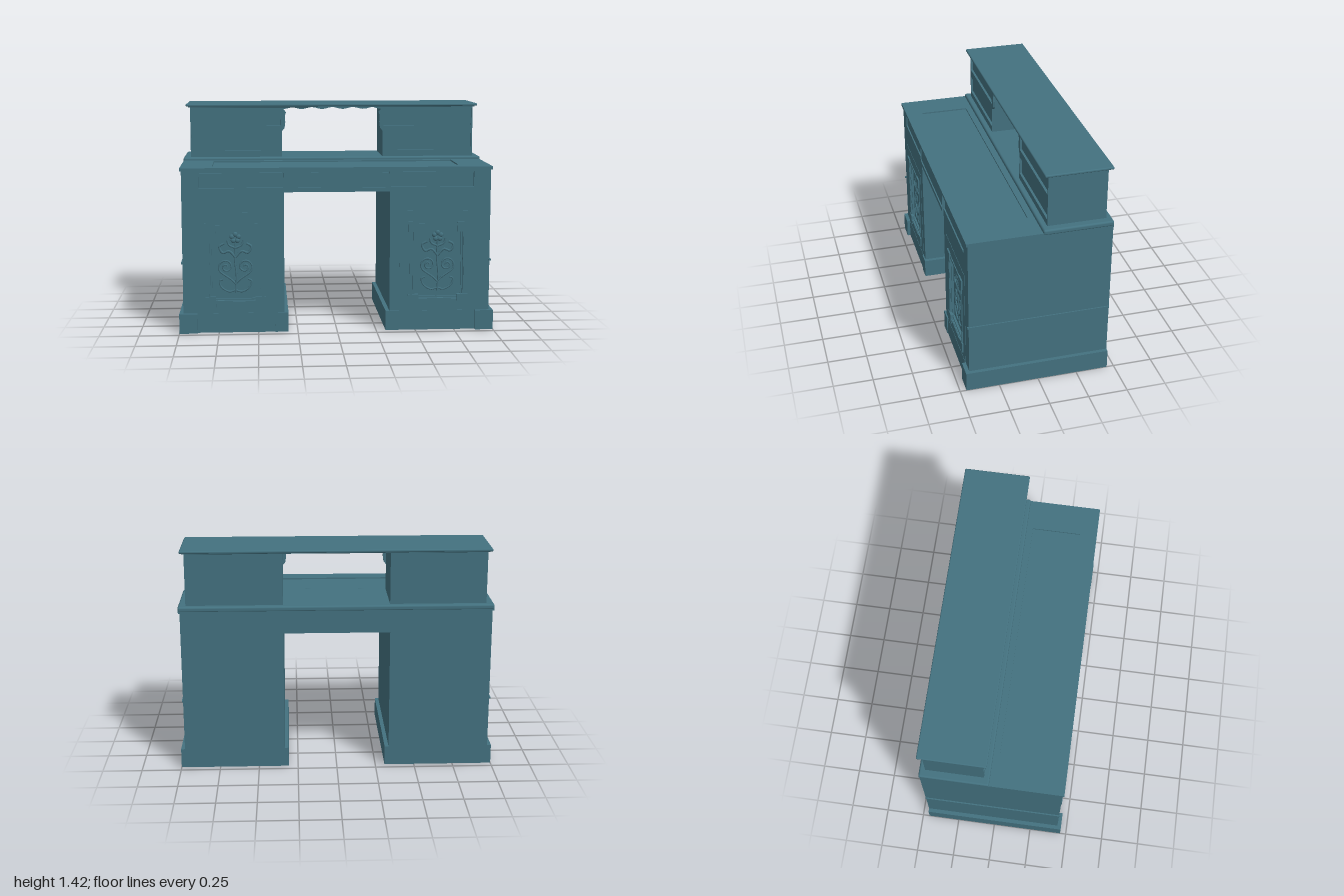
import * as THREE from 'three';
import { RoundedBoxGeometry } from 'three/addons/geometries/RoundedBoxGeometry.js';

const material = new THREE.MeshStandardMaterial({ color: 0x43717f });

function add(parent, name, geometry) {
  const mesh = new THREE.Mesh(geometry, material);
  mesh.name = name;
  parent.add(mesh);
  return mesh;
}

// Box given by its limits on each axis
function box(parent, name, [x0, x1], [y0, y1], [z0, z1], radius = 0) {
  const size = [x1 - x0, y1 - y0, z1 - z0];
  const geometry = radius ? new RoundedBoxGeometry(...size, 3, radius) : new THREE.BoxGeometry(...size);
  geometry.translate((x0 + x1) / 2, (y0 + y1) / 2, (z0 + z1) / 2);
  return add(parent, name, geometry);
}

const polygon = (points) => points.map(([x, y]) => new THREE.Vector2(x, y));
const rect = (x0, x1, y0, y1) => polygon([[x0, y0], [x1, y0], [x1, y1], [x0, y1]]);

// Flat board with openings, cut in the xy plane from z0 to z1
function board(outline, holes, z0, z1) {
  const shape = new THREE.Shape(outline);
  for (const hole of holes) shape.holes.push(new THREE.Path(hole));
  return new THREE.ExtrudeGeometry(shape, { depth: z1 - z0, bevelEnabled: false }).translate(0, 0, z0);
}

// Raised tendril of the door carving
function tendril(parent, points, radius = 0.006) {
  const curve = new THREE.CatmullRomCurve3(points.map(([x, y]) => new THREE.Vector3(x, y, 0)));
  return add(parent, 'carvedTendril', new THREE.TubeGeometry(curve, 36, radius, 6));
}

function carving() {
  const group = new THREE.Group();
  group.name = 'doorCarving';
  tendril(group, [[0, -0.19], [0.006, -0.08], [-0.004, 0.03], [0, 0.13]]);
  for (const s of [-1, 1]) {
    // Large scroll
    const scroll = [[0, -0.13], [s * 0.03, -0.1]];
    for (let i = 0; i <= 22; i++) {
      const a = -1.2 + i * 0.48, r = 0.05 * (1 - i / 26);
      scroll.push([s * (0.06 + r * Math.cos(a)), -0.02 + r * Math.sin(a)]);
    }
    tendril(group, scroll);
    // Lower curl and upper leaf sprays
    tendril(group, [[0, -0.17], [s * 0.04, -0.18], [s * 0.09, -0.15], [s * 0.1, -0.11], [s * 0.08, -0.1]]);
    tendril(group, [[0, 0.04], [s * 0.04, 0.08], [s * 0.08, 0.07], [s * 0.1, 0.11], [s * 0.07, 0.13]], 0.008);
    tendril(group, [[0, 0.1], [s * 0.04, 0.12], [s * 0.05, 0.15]], 0.007);
  }
  // Flower at the top
  for (let i = 0; i < 5; i++) {
    const a = Math.PI / 2 + i * Math.PI * 0.4;
    const petal = add(group, 'carvedPetal', new THREE.SphereGeometry(0.016, 8, 6));
    petal.position.set(0.022 * Math.cos(a), 0.165 + 0.022 * Math.sin(a), 0);
    petal.scale.z = 0.5;
  }
  return group;
}

function pedestal(side) {
  const group = new THREE.Group();
  group.name = side > 0 ? 'leftPedestal' : 'rightPedestal';
  const part = (name, [a, b], y, z) =>
    box(group, name, side > 0 ? [a, b] : [-b, -a], y, z);
  part('cabinet', [0.335, 0.975], [0, 1.03], [-0.455, 0.415]);
  part('plinth', [0.31, 1], [0, 0.125], [-0.455, 0.42]);
  part('outerPlinthBlock', [0.885, 1], [0, 0.125], [0.415, 0.46]);
  part('innerPlinthBlock', [0.31, 0.395], [0, 0.125], [0.415, 0.444]);
  part('doorPlinth', [0.395, 0.885], [0, 0.125], [0.415, 0.439]);
  part('sideMoulding', [0.97, 0.983], [0.444, 0.456], [-0.455, 0.444]);

  // Door: thin raised leaf, moulded frame, corner blocks, carved panel
  const door = new THREE.Group();
  door.name = 'door';
  door.position.x = side * 0.643;
  group.add(door);
  add(door, 'doorLeaf', board(rect(-0.247, 0.243, 0.125, 0.77), [rect(-0.16, 0.16, 0.205, 0.675)], 0.415, 0.437));
  add(door, 'outerFrame', board(rect(-0.18, 0.18, 0.185, 0.69), [rect(-0.164, 0.164, 0.201, 0.674)], 0.43, 0.442));
  add(door, 'innerFrame', board(rect(-0.158, 0.158, 0.207, 0.673), [rect(-0.148, 0.148, 0.217, 0.663)], 0.415, 0.429));
  for (const x of [-0.158, 0.158])
    for (const y of [0.198, 0.668])
      box(door, 'cornerBlock', [x - 0.034, x + 0.034], [y - 0.033, y + 0.033], [0.425, 0.446]);
  const ornament = carving();
  ornament.position.set(0, 0.44, 0.418);
  door.add(ornament);
  return group;
}

function hutchCabinet(side) {
  const group = new THREE.Group();
  group.name = side > 0 ? 'leftHutchCabinet' : 'rightHutchCabinet';
  const span = (a, b) => (side > 0 ? [a, b] : [-b, -a]);
  box(group, 'hutchBox', span(0.335, 0.94), [1.065, 1.407], [-0.42, -0.07]);
  // Face frame with two sunk drawer fronts
  const holes = [[1.11, 1.222], [1.275, 1.388]].map(([y0, y1]) => rect(...span(0.343, 0.932), y0, y1));
  add(group, 'hutchFaceFrame', board(rect(...span(0.335, 0.94), 1.065, 1.407), holes, -0.07, -0.055));
  return group;
}

export function createModel() {
  const desk = new THREE.Group();
  desk.name = 'pedestalDesk';
  for (const side of [1, -1]) desk.add(pedestal(side), hutchCabinet(side));

  // Front facing with openings for doors and side drawers
  const outline = polygon([
    [-0.975, 0.125], [-0.335, 0.125], [-0.335, 0.895], [0.335, 0.895],
    [0.335, 0.125], [0.975, 0.125], [0.975, 1.03], [-0.975, 1.03],
  ]);
  const openings = [];
  for (const s of [-1, 1]) {
    openings.push(rect(s * 0.643 - 0.17, s * 0.643 + 0.17, 0.195, 0.68));
    openings.push(rect(s * 0.604 - 0.264, s * 0.604 + 0.264, 0.922, 1.02));
    box(desk, 'sideDrawer', [s * 0.604 - 0.26, s * 0.604 + 0.26], [0.926, 1.016], [0.41, 0.428]);
  }
  add(desk, 'frontFacing', board(outline, openings, 0.415, 0.435));

  // Apron over the kneehole with its middle drawer
  box(desk, 'kneeholeTop', [-0.335, 0.335], [0.895, 1.03], [-0.455, 0.43]);
  add(desk, 'apron', board(rect(-0.335, 0.335, 0.895, 1.03), [rect(-0.327, 0.327, 0.922, 1.02)], 0.43, 0.444));
  box(desk, 'middleDrawer', [-0.323, 0.323], [0.926, 1.016], [0.42, 0.438]);

  // Desktop with sunk writing surface
  const top = board(rect(-0.985, 0.985, -0.446, 0.455), [rect(-0.785, 0.785, -0.335, -0.02)], 0, 0.02);
  add(desk, 'desktop', top.rotateX(-Math.PI / 2).translate(0, 1.03, 0));
  box(desk, 'writingSurface', [-0.79, 0.79], [1.02, 1.041], [0.015, 0.34]);
  box(desk, 'hutchBase', [-0.988, 0.988], [1.035, 1.07], [-0.457, -0.02], 0.012);

  // Hutch top, moulded edge
  box(desk, 'hutchTop', [-0.967, 0.967], [1.405, 1.422], [-0.446, -0.028], 0.007);
  box(desk, 'hutchTopMoulding', [-0.952, 0.952], [1.398, 1.41], [-0.432, -0.042], 0.004);

  // Scalloped valance with side brackets
  const half = [[0.335, 1.24], [0.318, 1.26], [0.313, 1.3], [0.316, 1.34], [0.308, 1.365], [0.325, 1.385], [0.29, 1.392]];
  const valance = [[0.335, 1.407], ...half];
  for (let i = 0; i <= 40; i++) {
    const x = 0.27 - i * 0.0135;
    valance.push([x, 1.392 + 0.006 * Math.cos(x * 46)]);
  }
  valance.push(...half.map(([x, y]) => [-x, y]).reverse(), [-0.335, 1.407]);
  add(desk, 'scallopedValance', board(polygon(valance), [], -0.07, -0.056));
  return desk;
}
